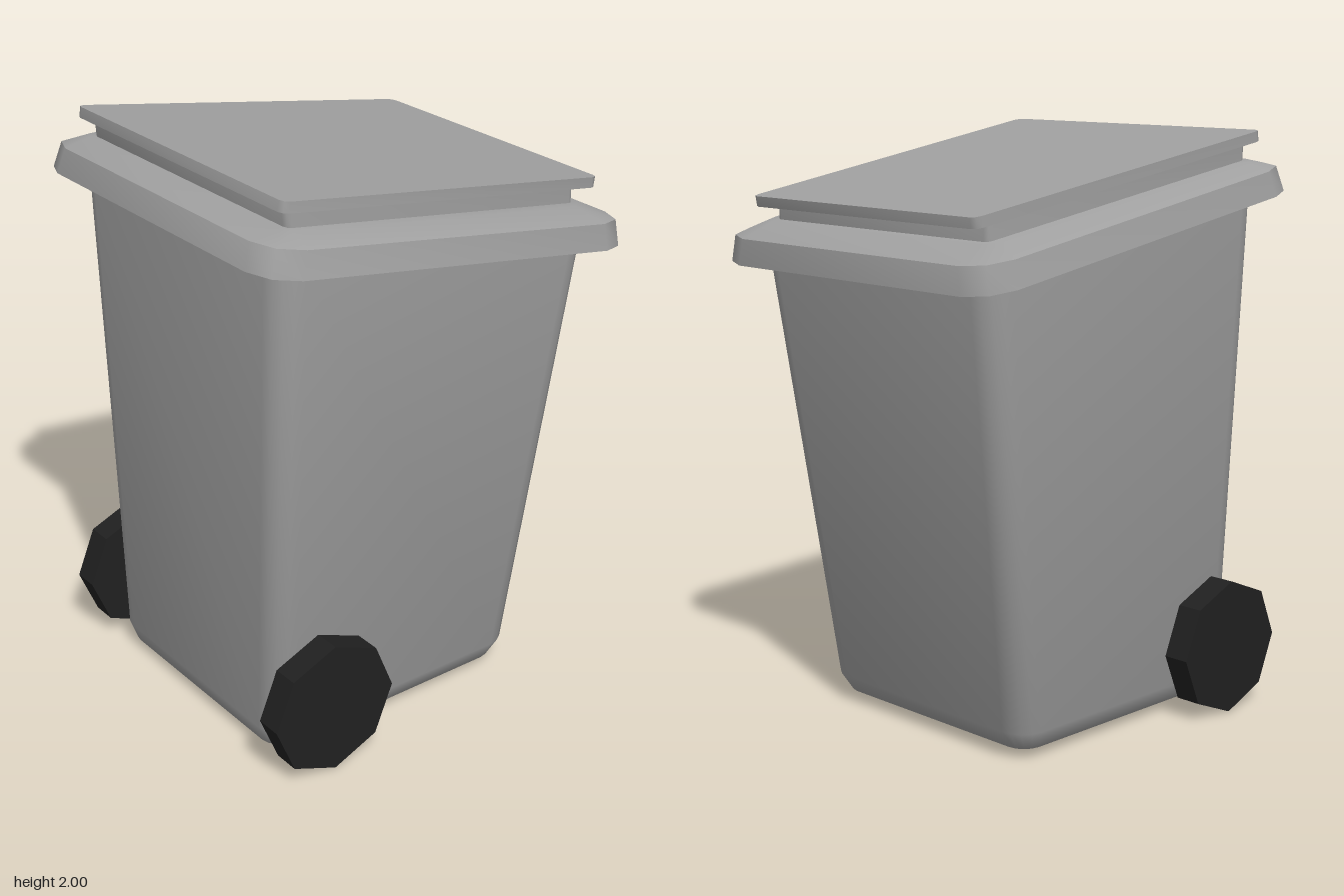
import * as THREE from 'three';
import { toCreasedNormals } from 'three/addons/utils/BufferGeometryUtils.js';

const TILT = -0.163; // slope of the lid and rim towards the front edge (+x)

// Rounded four-sided outline from x0 to x1, half depth z0 at x0 and z1 at x1.
// With tilt set, the outline lies in the sloping lid plane.
function outline({ x0, x1, z0, z1 = z0, y, r, tilt = 0 }, segments) {
  const points = [];
  const cx = (x0 + x1) / 2, hx = (x1 - x0) / 2;
  for (let corner = 0; corner < 4; corner++) {
    const sx = corner === 0 || corner === 3 ? 1 : -1;
    const sz = corner < 2 ? 1 : -1;
    const hz = sx > 0 ? z1 : z0;
    for (let i = 0; i <= segments; i++) {
      const a = (corner + i / segments) * Math.PI / 2;
      const x = cx + sx * (hx - r) + r * Math.cos(a);
      const z = sz * (hz - r) + r * Math.sin(a);
      points.push([x, y + tilt * x, z]);
    }
  }
  return points;
}

// Closed solid through a stack of outlines, listed from bottom to top.
function loft(sections, segments, creaseDegrees) {
  const rings = sections.map((s) => outline(s, segments));
  const n = rings[0].length;
  const positions = rings.flat(2);
  const index = [];
  for (let k = 0; k < rings.length - 1; k++) {
    for (let i = 0; i < n; i++) {
      const a = k * n + i, b = k * n + (i + 1) % n;
      index.push(a, a + n, b + n, a, b + n, b);
    }
  }
  const top = (rings.length - 1) * n;
  for (let i = 1; i < n - 1; i++) {
    index.push(0, i, i + 1, top, top + i + 1, top + i);
  }
  const geometry = new THREE.BufferGeometry();
  geometry.setAttribute('position', new THREE.Float32BufferAttribute(positions, 3));
  geometry.setIndex(index);
  return toCreasedNormals(geometry, THREE.MathUtils.degToRad(creaseDegrees));
}

export function createModel() {
  const group = new THREE.Group();
  const plastic = new THREE.MeshStandardMaterial({ color: 0xa0a0a0 });
  plastic.name = 'grey plastic';
  const rubber = new THREE.MeshStandardMaterial({ color: 0x202020 });
  rubber.name = 'black rubber';

  const add = (name, geometry, material) => {
    const mesh = new THREE.Mesh(geometry, material);
    mesh.name = name;
    group.add(mesh);
    return mesh;
  };

  // Tapered bin with a softened base and a sloping top
  add('body', loft([
    { x0: -0.54, x1: 0.31, z0: 0.39, y: 0.01, r: 0.04 },
    { x0: -0.6, x1: 0.375, z0: 0.45, y: 0.036, r: 0.07 },
    { x0: -0.62, x1: 0.415, z0: 0.48, y: 0.1, r: 0.09 },
    { x0: -0.63, x1: 0.625, z0: 0.566, z1: 0.555, y: 1.69, r: 0.09, tilt: TILT },
  ], 4, 62), plastic);

  // Wide collar with a bevelled upper edge
  add('rim', loft([
    { x0: -0.732, x1: 0.727, z0: 0.652, y: 1.683, r: 0.12, tilt: TILT },
    { x0: -0.706, x1: 0.722, z0: 0.637, y: 1.771, r: 0.12, tilt: TILT },
    { x0: -0.6, x1: 0.61, z0: 0.575, z1: 0.545, y: 1.806, r: 0.05, tilt: TILT },
  ], 2, 48), plastic);

  // Narrow step between the rim and the lid plate
  add('lidNeck', loft([
    { x0: -0.585, x1: 0.585, z0: 0.535, z1: 0.505, y: 1.8, r: 0.02, tilt: TILT },
    { x0: -0.59, x1: 0.585, z0: 0.535, z1: 0.505, y: 1.87, r: 0.02, tilt: TILT },
  ], 2, 48), plastic);

  // Flat lid plate, wider at the back
  add('lid', loft([
    { x0: -0.627, x1: 0.658, z0: 0.572, z1: 0.534, y: 1.863, r: 0.025, tilt: TILT },
    { x0: -0.621, x1: 0.664, z0: 0.572, z1: 0.534, y: 1.899, r: 0.025, tilt: TILT },
  ], 2, 48), plastic);

  // Eight-sided wheels
  const wheelGeometry = toCreasedNormals(
    new THREE.CylinderGeometry(0.235, 0.235, 0.092, 8).rotateX(Math.PI / 2), 0.3);
  for (const [name, side] of [['frontWheel', 1], ['backWheel', -1]]) {
    add(name, wheelGeometry, rubber).position.set(-0.47, 0.237, side * 0.569);
  }

  return group;
}
